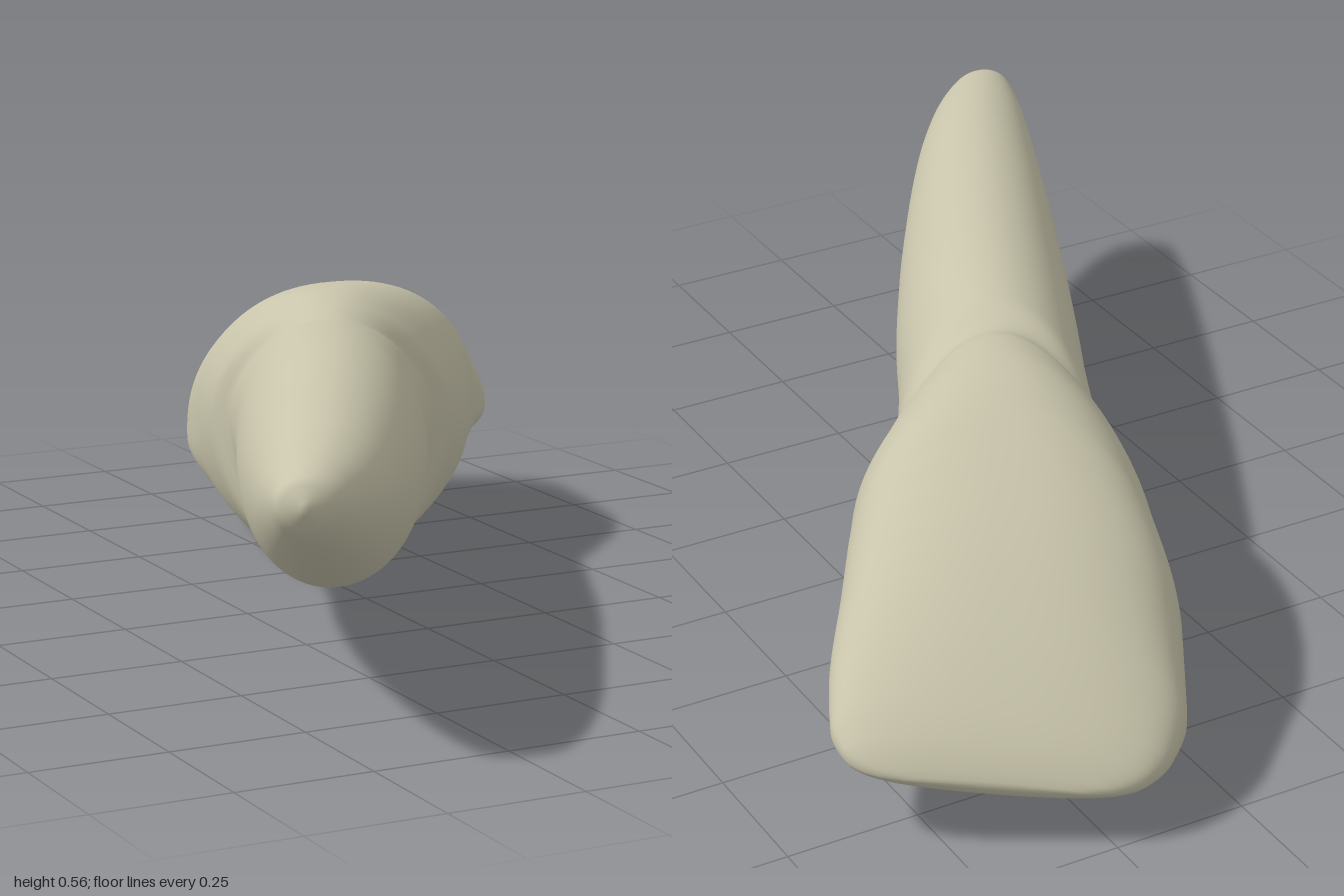
import * as THREE from 'three';

// Side outline seen from above: [station, right edge, left edge]
const OUTLINE = [
  [-1.166, -0.075, -0.06], [-1.145, -0.114, -0.02], [-1.1, -0.127, 0.01], [-0.98, -0.152, 0.052],
  [-0.83, -0.172, 0.08], [-0.6, -0.199, 0.103], [-0.42, -0.216, 0.114], [-0.2, -0.233, 0.119],
  [0, -0.245, 0.113], [0.18, -0.265, 0.119], [0.3, -0.298, 0.146], [0.45, -0.343, 0.19],
  [0.66, -0.386, 0.213], [0.83, -0.385, 0.229], [0.92, -0.357, 0.225], [0.97, -0.315, 0.202],
  [0.995, -0.26, 0.16], [1.005, -0.2, 0.1],
];
// Height profile: [station, top, bottom, widest level, hollow depth underneath]
const PROFILE = [
  [-1.166, 0.46, 0.44, 0.45, 0], [-1.145, 0.493, 0.405, 0.45, 0], [-1.08, 0.513, 0.36, 0.44, 0],
  [-0.92, 0.53, 0.285, 0.41, 0], [-0.72, 0.54, 0.213, 0.38, 0], [-0.5, 0.545, 0.155, 0.35, 0],
  [-0.25, 0.55, 0.108, 0.33, 0], [0, 0.543, 0.082, 0.31, 0], [0.09, 0.524, 0.045, 0.3, 0],
  [0.16, 0.545, 0.005, 0.29, 0], [0.27, 0.56, 0.006, 0.27, 0.0], [0.4, 0.548, 0.04, 0.25, 0.02],
  [0.5, 0.515, 0.065, 0.235, 0.045], [0.6, 0.47, 0.085, 0.22, 0.055], [0.7, 0.415, 0.095, 0.205, 0.055],
  [0.8, 0.348, 0.096, 0.19, 0.045], [0.9, 0.268, 0.096, 0.17, 0.02], [0.97, 0.2, 0.1, 0.15, 0],
  [0.995, 0.165, 0.115, 0.14, 0], [1.005, 0.145, 0.13, 0.137, 0],
];

// Smooth interpolation of one column of a table
function sample(table, s, col) {
  const last = table.length - 1;
  if (s <= table[0][0]) return table[0][col];
  if (s >= table[last][0]) return table[last][col];
  let i = 0;
  while (table[i + 1][0] < s) i++;
  const slope = (k) => (table[k + 1][col] - table[k][col]) / (table[k + 1][0] - table[k][0]);
  // Harmonic tangents avoid overshoot
  const tangent = (k) => {
    if (k === 0) return slope(0);
    if (k === last) return slope(last - 1);
    const a = slope(k - 1), b = slope(k);
    return a * b <= 0 ? 0 : (2 * a * b) / (a + b);
  };
  const h = table[i + 1][0] - table[i][0], x = (s - table[i][0]) / h;
  const x2 = x * x, x3 = x2 * x;
  return (2 * x3 - 3 * x2 + 1) * table[i][col] + (x3 - 2 * x2 + x) * h * tangent(i)
    + (3 * x2 - 2 * x3) * table[i + 1][col] + (x3 - x2) * h * tangent(i + 1);
}

const AXIS = new THREE.Vector3(0.48, 0, -0.877);
const SIDE = new THREE.Vector3(0.877, 0, 0.48);
const power = (v, p) => Math.sign(v) * Math.pow(Math.abs(v), p);
const smooth = THREE.MathUtils.smoothstep;

// One point of the surface at a station and an angle round the section
function surfacePoint(station, angle) {
  const c = Math.cos(angle), n = Math.sin(angle);
  // The neck line sweeps towards the crown on both flanks
  const sweep = 0.16 * c * c * smooth(station, -0.3, 0.1) * (1 - smooth(station, 0.12, 0.85));
  const s = Math.min(station + sweep, 1.005);
  const crown = smooth(station, 0.1, 0.5);
  const p = 1 - 0.17 * crown;
  // Raised lip where the crown meets the root
  const lip = 0.014 * smooth(station, 0.085, 0.14) * (1 - smooth(station, 0.16, 0.45))
    - 0.008 * Math.exp(-(((station - 0.085) / 0.04) ** 2));

  const right = sample(OUTLINE, s, 1), left = sample(OUTLINE, s, 2);
  const centre = (left + right) / 2;
  const t = centre + ((left - right) / 2 + lip) * power(c, p);

  const top = sample(PROFILE, station, 1), bottom = sample(PROFILE, station, 2);
  const level = sample(PROFILE, station, 3), hollow = sample(PROFILE, station, 4);
  let y = level + (n > 0 ? top - level : level - bottom) * power(n, p);
  if (n < 0) y += hollow * Math.exp(-((c / 0.6) ** 2)) * Math.min(1, -n * 2);
  y += 0.1 * crown * (t - centre);

  return new THREE.Vector3(0, y, 0).addScaledVector(AXIS, s).addScaledVector(SIDE, t);
}

function toothGeometry(rings, sides) {
  const positions = [], index = [];
  for (let i = 0; i <= rings; i++) {
    // Stations crowd towards both rounded ends
    const f = i / rings, e = (1 - Math.cos(Math.PI * f)) / 2;
    const station = THREE.MathUtils.lerp(-1.166, 1.005, 0.5 * e + 0.5 * f);
    for (let j = 0; j < sides; j++) {
      positions.push(...surfacePoint(station, (j / sides) * Math.PI * 2).toArray());
    }
  }
  for (let i = 0; i < rings; i++) {
    for (let j = 0; j < sides; j++) {
      const k = (j + 1) % sides;
      const a = i * sides + j, b = i * sides + k;
      index.push(a, a + sides, b, b, a + sides, b + sides);
    }
  }
  // Close both ends with a fan
  for (const ring of [0, rings]) {
    const start = ring * sides, mid = positions.length / 3;
    const centre = new THREE.Vector3();
    for (let j = 0; j < sides; j++) {
      centre.add(new THREE.Vector3().fromArray(positions, (start + j) * 3));
    }
    positions.push(...centre.divideScalar(sides).toArray());
    for (let j = 0; j < sides; j++) {
      const a = start + j, b = start + ((j + 1) % sides);
      if (ring === 0) index.push(mid, a, b);
      else index.push(mid, b, a);
    }
  }
  const geometry = new THREE.BufferGeometry();
  geometry.setAttribute('position', new THREE.Float32BufferAttribute(positions, 3));
  geometry.setIndex(index);
  geometry.computeVertexNormals();
  return geometry;
}

export function createModel() {
  const enamel = new THREE.MeshStandardMaterial({ color: 0xc8c4ab });
  enamel.name = 'enamel';

  const group = new THREE.Group();
  group.name = 'incisor';
  // Root, neck and crown form one continuous skin
  const tooth = new THREE.Mesh(toothGeometry(160, 96), enamel);
  tooth.name = 'rootAndCrown';
  group.add(tooth);
  return group;
}
